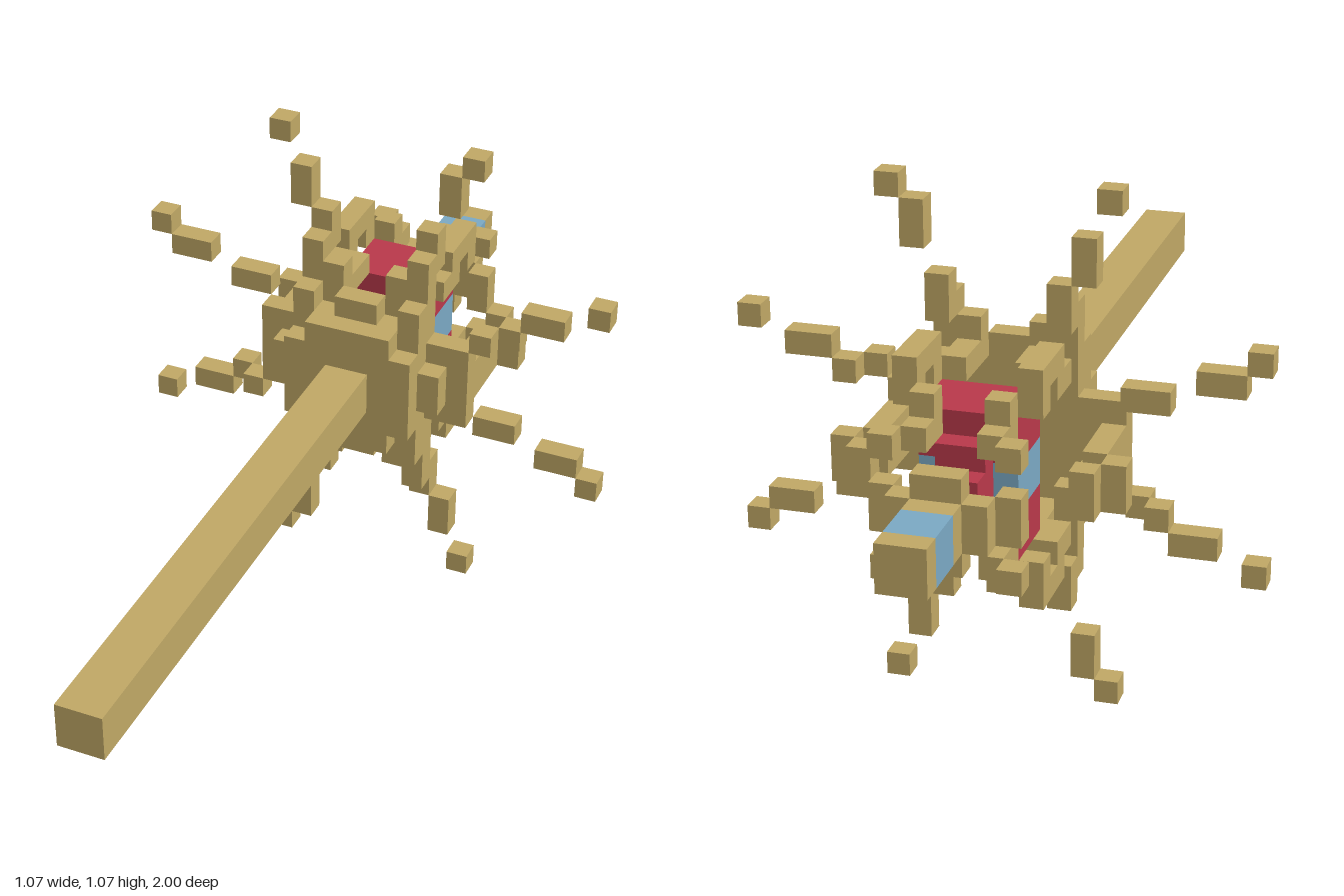
import * as THREE from 'three';

const U = 2 / 41; // one block
const tan = new THREE.MeshStandardMaterial({ color: 0xbfa765 });
tan.name = 'tan';
const red = new THREE.MeshStandardMaterial({ color: 0xb8384a });
red.name = 'red';
const blue = new THREE.MeshStandardMaterial({ color: 0x7aa8c3 });
blue.name = 'blue';

export function createModel() {
  const root = new THREE.Group();
  root.name = 'staff';

  function part(name) {
    const g = new THREE.Group();
    g.name = name;
    root.add(g);
    return g;
  }

  // Box between block coordinates; z counts blocks from the back end
  function block(parent, name, mat, [x0, x1, y0, y1, z0, z1]) {
    const geo = new THREE.BoxGeometry((x1 - x0) * U, (y1 - y0) * U, (z1 - z0) * U);
    const m = new THREE.Mesh(geo, mat);
    m.name = name;
    m.position.set((x0 + x1) / 2 * U, ((y0 + y1) / 2 + 11) * U, ((z0 + z1) / 2) * U - 1);
    parent.add(m);
  }
  const flipX = ([a, b, ...r]) => [-b, -a, ...r];
  const flipY = ([a, b, c, d, ...r]) => [a, b, -d, -c, ...r];
  const both = (g, n, mat, b, flip) => { block(g, n, mat, b); block(g, n, mat, flip(b)); };
  const four = (g, n, mat, b) => { both(g, n, mat, b, flipX); both(g, n, mat, flipY(b), flipX); };

  // Shaft and banded rear tip
  const shaft = part('shaft');
  block(shaft, 'shaftBar', tan, [-1, 1, -1, 1, 16, 41]);
  const tip = part('tip');
  block(tip, 'tipEnd', tan, [-1, 1, -1, 1, 0, 1]);
  block(tip, 'tipBand', blue, [-1, 1, -1, 1, 1, 3]);
  block(tip, 'tipBase', tan, [-1, 1, -1, 1, 3, 5]);

  // Stepped dish opening to the rear
  const dish = part('dish');
  block(dish, 'dishFront', tan, [-3, 3, -2, 2, 15, 16]);
  both(dish, 'dishFrontEdge', tan, [-2, 2, 2, 3, 15, 16], flipY);
  block(dish, 'dishPlate', tan, [-3, 3, -3, 3, 14, 15]);
  both(dish, 'dishSide', tan, [3, 4, -1, 1, 14, 15], flipX);
  both(dish, 'dishTop', tan, [-1, 1, 3, 4, 14, 15], flipY);
  four(dish, 'dishColumn', tan, [2, 3, 2, 4, 13, 15]);
  four(dish, 'dishRim', tan, [3, 5, 1, 2, 13, 14]);
  four(dish, 'dishRimTop', tan, [1, 2, 3, 5, 13, 14]);
  both(dish, 'dishRimSide', tan, [4, 5, -1, 1, 12, 14], flipX);

  // Rays: each is repeated by a half turn about the shaft
  const rays = part('rays');
  four(rays, 'rayRoot', tan, [2, 3, 4, 6, 13, 14]);
  four(rays, 'rayColumn', tan, [2, 3, 5, 7, 12, 13]);
  for (const r of [
    [-5, -4, 10, 11], [-4, -3, 7, 9],
    [4, 5, 10, 11], [3, 4, 8, 10],
    [10, 11, 4, 5], [7, 9, 3, 4], [6, 7, 2, 3],
    [-11, -10, 4, 5], [-10, -8, 3, 4], [-7, -5, 2, 3],
  ]) both(rays, 'ray', tan, [...r, 12, 13], (b) => flipX(flipY(b)));
  both(rays, 'rayRootSide', tan, [5, 6, 2, 3, 13, 14], (b) => flipX(flipY(b)));

  // Orb: red shell around a blue core
  const orb = part('orb');
  block(orb, 'orbCore', blue, [-2, 2, -1, 1, 8, 11]);
  both(orb, 'orbCap', red, [-2, 2, 2, 3, 8, 11], flipY);
  both(orb, 'orbShell', red, [-2, 2, 1, 2, 8, 11], flipY);
  both(orb, 'orbShellLong', red, [-1, 1, 1, 2, 7, 12], flipY);
  block(orb, 'orbRear', red, [-1, 1, -1, 1, 6, 8]);
  block(orb, 'orbFront', red, [-1, 1, -1, 1, 11, 14]);

  // Cage: four corner ribs, two side ribs and a rear hub
  const cage = part('cage');
  for (const b of [
    [1, 2, 3, 4, 11, 13], [2, 3, 3, 4, 10, 12], [2, 3, 4, 5, 8, 11], [2, 3, 3, 4, 8, 9],
    [1, 2, 3, 4, 7, 8], [1, 2, 2, 3, 6, 8], [2, 3, 2, 3, 5, 6],
  ]) four(cage, 'cornerRib', tan, b);
  for (const b of [
    [4, 5, -1, 1, 10, 12], [5, 6, -1, 1, 9, 10], [4, 5, -1, 1, 8, 9],
    [2, 3, -1, 1, 5, 6], [1, 2, -1, 1, 4, 5],
  ]) both(cage, 'sideRib', tan, b, flipX);
  both(cage, 'hubEdge', tan, [-1, 1, 1, 2, 4, 5], flipY);

  return root;
}
